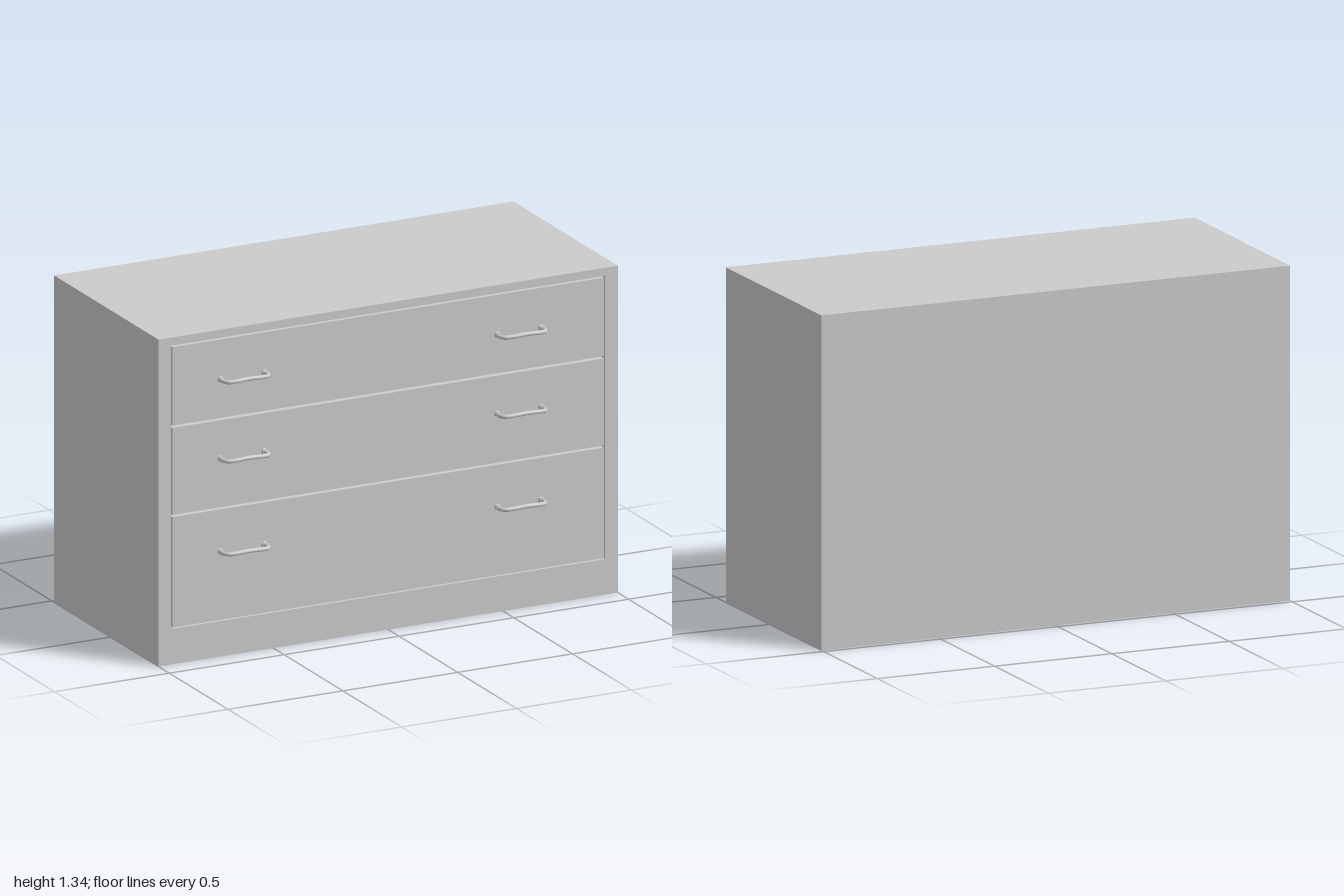
import * as THREE from 'three';

const BACK = -0.48, FRONT = 0.408, HEIGHT = 1.335;

const material = new THREE.MeshStandardMaterial({ color: 0xcccccc });

function addMesh(parent, name, geometry, x = 0, y = 0, z = 0) {
  const mesh = new THREE.Mesh(geometry, material);
  mesh.name = name;
  mesh.position.set(x, y, z);
  parent.add(mesh);
  return mesh;
}

// Rectangle outline from two corners
function rectangle(PathType, x0, y0, x1, y1) {
  return new PathType([[x0, y0], [x1, y0], [x1, y1], [x0, y1]].map(([x, y]) => new THREE.Vector2(x, y)));
}

// Bow handle: a bent rod on two small round feet
function createHandle() {
  const handle = new THREE.Group();
  handle.name = 'handle';
  const half = [[-0.095, 0, 0], [-0.097, 0, 0.03], [-0.086, 0.001, 0.052], [-0.06, 0.003, 0.06]];
  const mirrored = half.map(([x, y, z]) => [-x, y, z]).reverse();
  const points = [...half, [0, 0.006, 0.062], ...mirrored].map((p) => new THREE.Vector3(...p));
  const curve = new THREE.CatmullRomCurve3(points);
  addMesh(handle, 'handleBar', new THREE.TubeGeometry(curve, 40, 0.0085, 10));
  for (const side of [-1, 1]) {
    const foot = new THREE.CylinderGeometry(0.01, 0.013, 0.012, 16).rotateX(Math.PI / 2);
    addMesh(handle, 'handleFoot', foot, side * 0.095, 0, 0.004);
  }
  return handle;
}

export function createModel() {
  const chest = new THREE.Group();
  chest.name = 'chestOfDrawers';

  // Carcass: a rectangular shell open at the front
  const x0 = -0.945, x1 = 0.945, y0 = 0.145, y1 = 1.302;
  const outline = rectangle(THREE.Shape, -1, 0, 1, HEIGHT);
  outline.holes.push(rectangle(THREE.Path, x0, y0, x1, y1));
  const shell = new THREE.ExtrudeGeometry(outline, { depth: FRONT - BACK, bevelEnabled: false });
  addMesh(chest, 'carcass', shell, 0, 0, BACK);

  // Back panel closing the shell
  addMesh(chest, 'backPanel', new THREE.BoxGeometry(x1 - x0, y1 - y0, 0.02), 0, (y0 + y1) / 2, BACK + 0.01);

  // Drawers with two handles each: bottom, top and handle height
  const drawers = [[0.15, 0.601, 0.43], [0.61, 0.965, 0.81], [0.975, 1.295, 1.133]];
  const depth = 0.82;
  for (const [bottom, top, handleY] of drawers) {
    const drawer = new THREE.Group();
    drawer.name = 'drawer';
    chest.add(drawer);
    addMesh(drawer, 'drawerBox', new THREE.BoxGeometry(1.88, top - bottom, depth),
      0, (bottom + top) / 2, FRONT - depth / 2);
    for (const handleX of [-0.635, 0.57]) {
      const handle = createHandle();
      handle.position.set(handleX, handleY, FRONT);
      drawer.add(handle);
    }
  }
  return chest;
}
